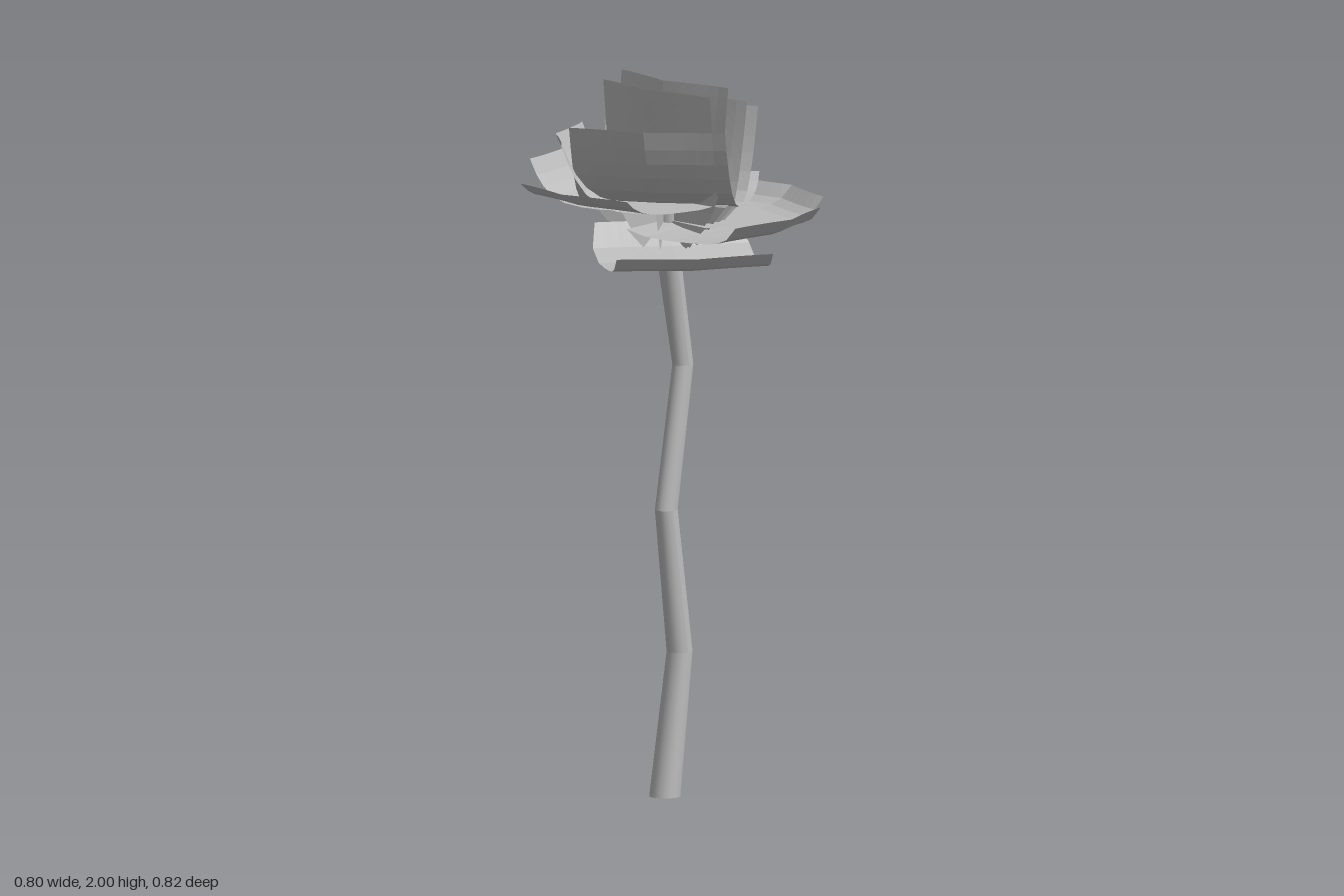
import * as THREE from 'three';

const AXIS_X = -0.02, AXIS_Z = -0.01;
const HALF_WIDTH = 0.222, TIP_POINT = 0.045;

// Each petal: [heading in degrees, reach, tip height, base height], inner to outer
const PETALS = [
  [180, 0.008, 2.0, 1.65], [180, 0.076, 1.98, 1.65], [-15, 0.12, 1.95, 1.66],
  [-27.5, 0.183, 1.92, 1.66], [145.5, 0.25, 1.89, 1.66], [229, 0.305, 1.845, 1.66],
  [259, 0.345, 1.78, 1.66], [180, 0.382, 1.72, 1.67], [-42, 0.395, 1.695, 1.65],
  [7, 0.424, 1.67, 1.612], [73.5, 0.413, 1.645, 1.592], [118, 0.398, 1.56, 1.515],
];
// Fractions of the reach at which a petal is creased
const CREASES = [0, 0.2, 0.4, 0.6, 0.74, 0.84, 0.92, 1];

// Sheet from rows of points, faceted
function sheet(rows) {
  const n = rows[0].length, pos = [], index = [];
  rows.forEach(r => r.forEach(p => pos.push(...p)));
  for (let j = 0; j < rows.length - 1; j++) {
    for (let i = 0; i < n - 1; i++) {
      const a = j * n + i, b = a + 1, c = a + n, d = c + 1;
      index.push(a, c, b, b, c, d);
    }
  }
  const g = new THREE.BufferGeometry();
  g.setAttribute('position', new THREE.Float32BufferAttribute(pos, 3));
  g.setIndex(index);
  const flat = g.toNonIndexed();
  flat.computeVertexNormals();
  return flat;
}

// Curled petal: upright when k = 0, flat with an upturned tip when k = 1
function petalGeometry(k, reach, tipY, baseY) {
  const rows = [], cols = 12;
  const row = (xf, y, half) => {
    const r = [];
    for (let i = 0; i <= cols; i++) {
      const u = (i / cols) * 2 - 1;
      const point = TIP_POINT * Math.pow(1 - Math.abs(u), 1.4);
      r.push([xf * (reach - TIP_POINT + point), y, u * half]);
    }
    rows.push(r);
  };
  // narrowing foot under the flower
  row(0, 1.54, 0.1);
  // the lowest petals rise towards the stem
  const lift = Math.max(0, 1.61 - baseY);
  const curl = 1 + 14 * Math.pow(k, 1.9);
  CREASES.forEach(xf => {
    const y = baseY + (tipY - baseY) * Math.pow(xf, curl)
      + lift * Math.pow(Math.max(0, 1 - xf / 0.5), 2);
    row(xf, y, xf === 0 ? HALF_WIDTH * 0.9 : HALF_WIDTH);
  });
  return sheet(rows);
}

// Stem section between two level rings [x, y, radius in x, radius in z]
function stemSection([x0, y0, rx0, rz0], [x1, y1, rx1, rz1], openEnds) {
  const g = new THREE.CylinderGeometry(1, 1, 1, 16, 1, openEnds);
  const p = g.attributes.position, mix = THREE.MathUtils.lerp;
  for (let i = 0; i < p.count; i++) {
    const t = p.getY(i) + 0.5;
    p.setXYZ(i, p.getX(i) * mix(rx0, rx1, t) + mix(x0, x1, t), mix(y0, y1, t),
      p.getZ(i) * mix(rz0, rz1, t) - 0.008);
  }
  g.computeVertexNormals();
  return g;
}

export function createModel() {
  const model = new THREE.Group();
  const grey = new THREE.MeshStandardMaterial({ color: 0xbbbbbb, side: THREE.DoubleSide });
  grey.name = 'grey';

  // Zigzag stem
  const stem = new THREE.Group();
  stem.name = 'stem';
  const rings = [[-0.022, 0, 0.043, 0.044], [0.032, 0.4, 0.036, 0.036], [-0.017, 0.8, 0.034, 0.029],
    [0.044, 1.2, 0.032, 0.026], [-0.01, 1.52, 0.032, 0.036], [-0.02, 1.64, 0.032, 0.036]];
  for (let i = 0; i < rings.length - 1; i++) {
    const section = new THREE.Mesh(stemSection(rings[i], rings[i + 1], i > 0), grey);
    section.name = 'stemSection';
    stem.add(section);
  }
  model.add(stem);

  // Petals around the flower axis
  const flower = new THREE.Group();
  flower.name = 'flower';
  flower.position.set(AXIS_X, 0, AXIS_Z);
  PETALS.forEach(([deg, reach, tipY, baseY], i) => {
    const petal = new THREE.Mesh(
      petalGeometry(i / (PETALS.length - 1), reach, tipY, baseY), grey);
    petal.name = 'petal';
    petal.rotation.y = -THREE.MathUtils.degToRad(deg);
    flower.add(petal);
  });
  model.add(flower);
  return model;
}
